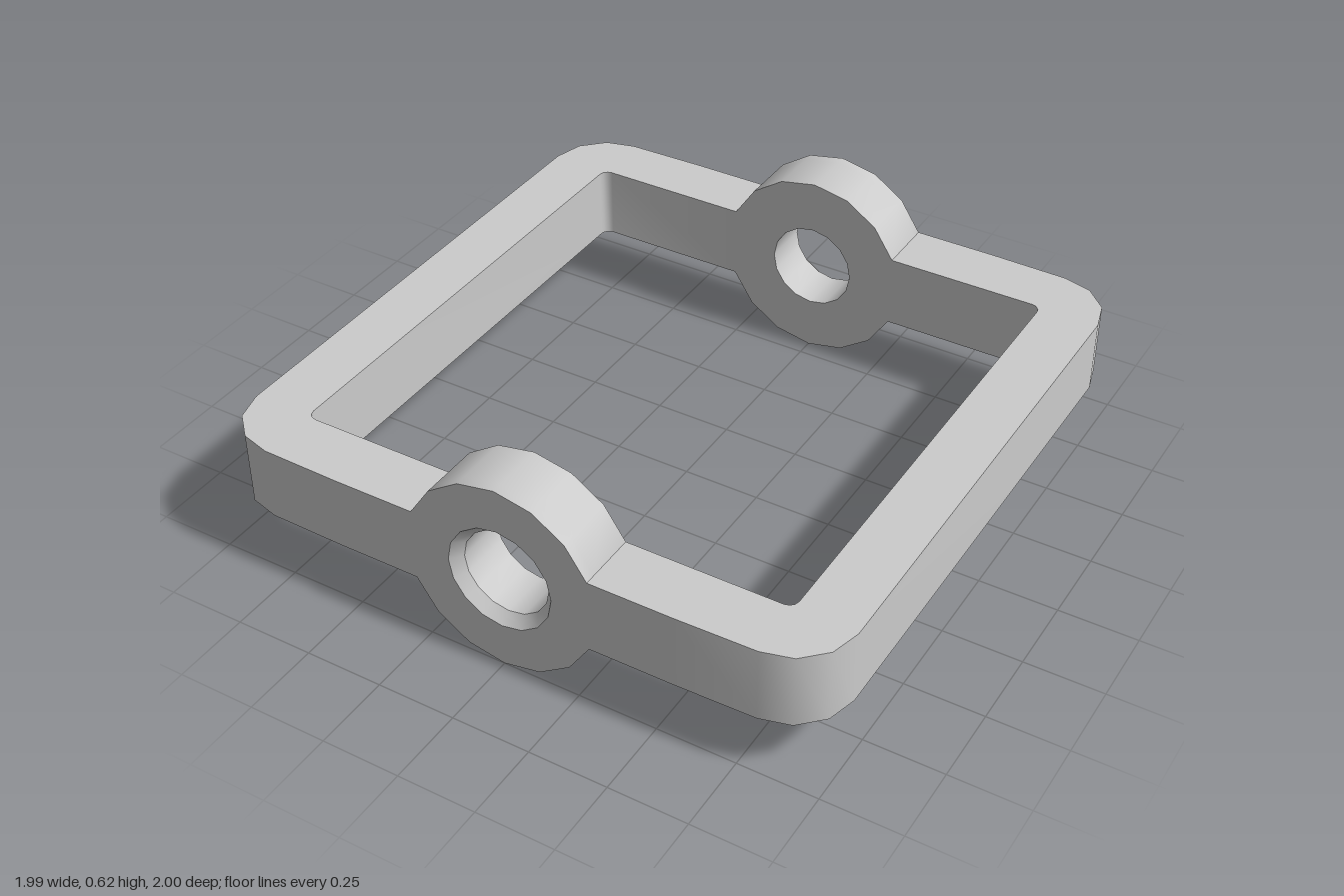
import * as THREE from 'three';
import { toCreasedNormals } from 'three/addons/utils/BufferGeometryUtils.js';

const material = new THREE.MeshStandardMaterial({ color: 0xcccccc });
const CREASE = 0.61;
const BOSS_R = 0.312, MID_Y = 0.315;
const JOIN_X = BOSS_R * Math.cos(Math.PI / 8); // where the bar meets the boss
const BAR_HALF = BOSS_R * Math.sin(Math.PI / 8); // half the bar height
const INNER = 0.805, OUTER = 1;

const polar = (r, a, cx = 0, cy = 0) =>
  new THREE.Vector2(cx + r * Math.cos(a), cy + r * Math.sin(a));

// Quarter-circle corner in three facets
const corner = (c, r) =>
  [0, 1, 2, 3].map((i) => polar(r, (i * Math.PI) / 6, c, c));

// C-shaped half of the square frame, open towards -x
function frameHalf() {
  const outer = [...corner(0.805, 0.19), new THREE.Vector2(0.55, OUTER), new THREE.Vector2(JOIN_X, OUTER)];
  const inner = [...corner(INNER - 0.03, 0.03), new THREE.Vector2(JOIN_X, INNER)];
  const mirrored = (pts) => pts.map((p) => new THREE.Vector2(p.x, -p.y));
  const outline = [
    ...mirrored(outer).reverse(), ...outer,
    ...inner.slice().reverse(), ...mirrored(inner),
  ];
  const geo = new THREE.ExtrudeGeometry(new THREE.Shape(outline), { depth: BAR_HALF * 2, bevelEnabled: false });
  geo.rotateX(-Math.PI / 2);
  geo.translate(0, MID_Y - BAR_HALF, 0);
  return toCreasedNormals(geo, CREASE);
}

// Faceted ring, flat where the bars join, countersunk on its outward face
function bossGeometry() {
  const depth = OUTER - INNER, holeR = 0.14, sinkR = 0.17, sinkDepth = 0.035;
  const outline = [], hole = [];
  for (let i = 0; i < 16; i++) {
    const a = (i * Math.PI) / 8;
    if (i % 8) outline.push(polar(BOSS_R, a));
    hole.push(polar(holeR, a));
  }
  const shape = new THREE.Shape(outline);
  shape.holes.push(new THREE.Path(hole));
  const geo = new THREE.ExtrudeGeometry(shape, { depth, steps: 2, bevelEnabled: false });
  const p = geo.attributes.position;
  for (let i = 0; i < p.count; i++) {
    const x = p.getX(i), y = p.getY(i), z = p.getZ(i);
    if (z > depth * 0.9 && Math.hypot(x, y) < 0.2) {
      p.setXY(i, (x * sinkR) / holeR, (y * sinkR) / holeR); // widen the mouth
    } else if (z > depth * 0.1 && z < depth * 0.9) {
      p.setZ(i, depth - sinkDepth); // bottom of the countersink
    }
  }
  geo.translate(0, MID_Y, INNER);
  return toCreasedNormals(geo, CREASE);
}

export function createModel() {
  const group = new THREE.Group();
  group.name = 'squareFrameWithBosses';
  const half = frameHalf(), boss = bossGeometry();
  const add = (geo, name, turn) => {
    const mesh = new THREE.Mesh(geo, material);
    mesh.name = name;
    mesh.rotation.y = turn;
    group.add(mesh);
  };
  add(half, 'leftFrameHalf', 0);
  add(half, 'rightFrameHalf', Math.PI);
  add(boss, 'frontBoss', 0);
  add(boss, 'backBoss', Math.PI);
  return group;
}
